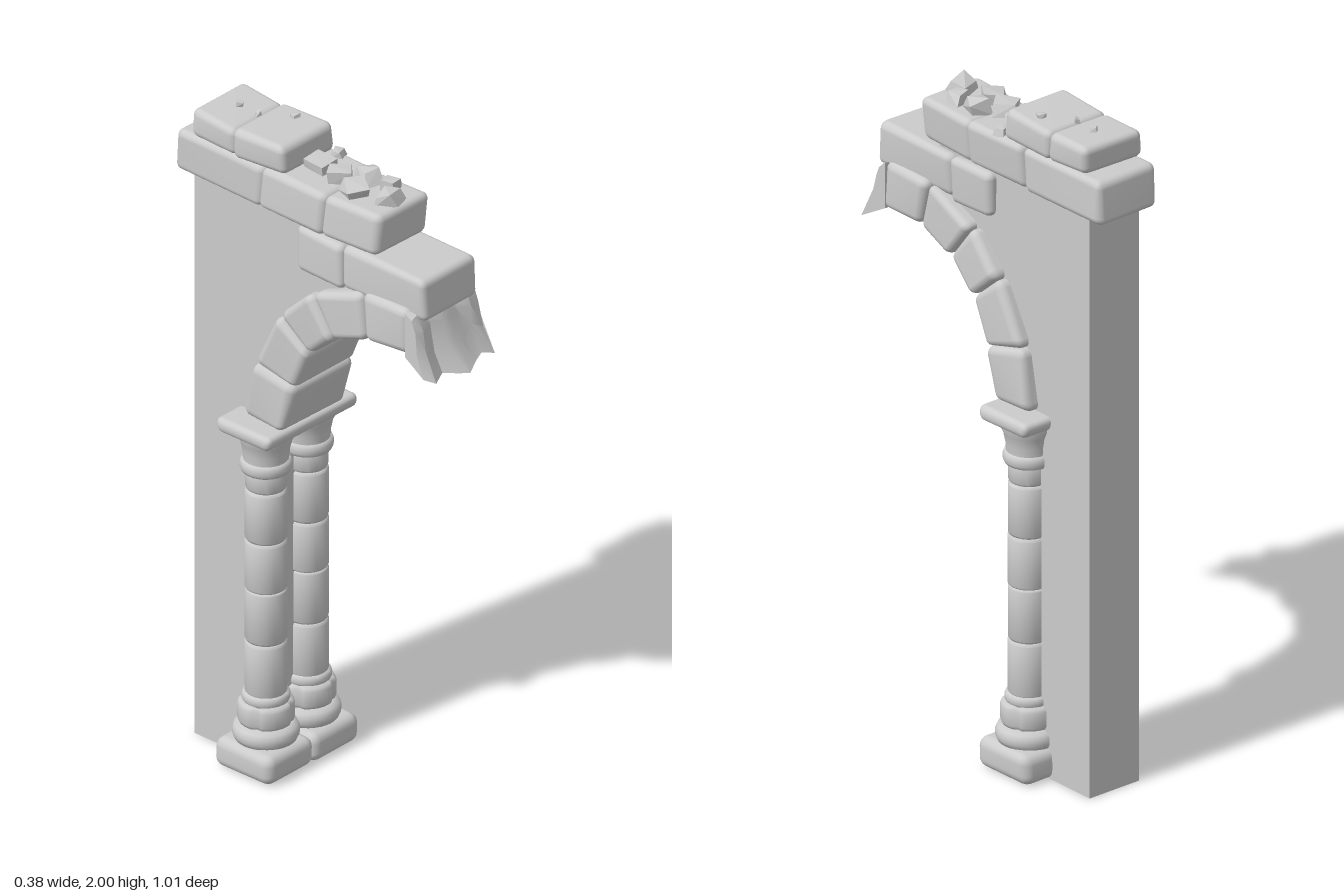
import * as THREE from 'three';
import { mergeVertices, toCreasedNormals } from 'three/addons/utils/BufferGeometryUtils.js';
import { RoundedBoxGeometry } from 'three/addons/geometries/RoundedBoxGeometry.js';
import { ConvexGeometry } from 'three/addons/geometries/ConvexGeometry.js';

const material = new THREE.MeshStandardMaterial({ color: 0xcccccc });
const rubbleMaterial = new THREE.MeshStandardMaterial({ color: 0xcccccc, flatShading: true });

let seed = 7;
const rand = () => (seed = (seed * 16807) % 2147483647) / 2147483647;

function add(group, name, geometry, mat = material) {
  const mesh = new THREE.Mesh(geometry, mat);
  mesh.name = name;
  group.add(mesh);
  return mesh;
}

// Worn stone: a rounded box warped onto a side outline of four [z, y] corners
// (inner back, inner front, outer front, outer back), spanning x0 to x1.
function stone([a, b, c, d], x0, x1, radius = 0.022, wear = 0.004) {
  const dist = (p, q) => Math.hypot(p[0] - q[0], p[1] - q[1]);
  const w = x1 - x0;
  const h = (dist(a, d) + dist(b, c)) / 2;
  const l = (dist(a, b) + dist(d, c)) / 2;
  let geo = new RoundedBoxGeometry(w, h, l, 3, Math.min(radius, h * 0.48, l * 0.48));
  geo.deleteAttribute('normal');
  geo.deleteAttribute('uv');
  geo = mergeVertices(geo, 1e-5);
  const p = geo.attributes.position;
  for (let i = 0; i < p.count; i++) {
    const u = p.getZ(i) / l + 0.5, v = p.getY(i) / h + 0.5;
    const mix = k => (1 - v) * ((1 - u) * a[k] + u * b[k]) + v * ((1 - u) * d[k] + u * c[k]);
    const x = p.getX(i) + (x0 + x1) / 2, y = mix(1), z = mix(0);
    p.setXYZ(i,
      x + wear * Math.sin(23 * y + 31 * z),
      y + wear * Math.sin(29 * x + 17 * z) * Math.min(1, y * 20),
      z + wear * Math.sin(37 * x + 19 * y));
  }
  geo.computeVertexNormals();
  return geo;
}

// Straight stone from z and y ranges
const block = (z0, z1, y0, y1, hx, r) => stone([[z0, y0], [z1, y0], [z1, y1], [z0, y1]], -hx, hx, r);

const lathe = (points, sides = 32) =>
  new THREE.LatheGeometry(points.map(([r, y]) => new THREE.Vector2(r, y)), sides);

// Stone ring with rounded edges
const ring = (r, y0, y1, e = 0.012) =>
  lathe([[0, y0], [r - e, y0], [r - e * 0.3, y0 + e * 0.3], [r, y0 + e], [r, y1 - e],
    [r - e * 0.3, y1 - e * 0.3], [r - e, y1], [0, y1]]);

function column(side) {
  const g = new THREE.Group();
  g.name = side > 0 ? 'leftColumn' : 'rightColumn';
  const part = (name, geo) => add(g, name, toCreasedNormals(geo, 0.9));
  part('lowerBaseRing', ring(0.094, 0.085, 0.14, 0.02));
  // Upper base ring, cut by vertical joints
  const jointed = ring(0.08, 0.14, 0.212, 0.014);
  const p = jointed.attributes.position;
  for (let i = 0; i < p.count; i++) {
    const x = p.getX(i), z = p.getZ(i);
    const turn = Math.round((Math.atan2(z, x) / (Math.PI * 2)) * 32 + 32) % 32;
    if (turn % 8 === 6) p.setXYZ(i, x * 0.9, p.getY(i), z * 0.9);
  }
  part('upperBaseRing', jointed);
  part('shaftFoot', ring(0.068, 0.205, 0.24));
  const joints = [0.235, 0.4, 0.565, 0.72, 0.88];
  for (let i = 0; i < 4; i++) part('drum' + (i + 1), ring(0.06 - 0.001 * (i % 2), joints[i], joints[i + 1], 0.007));
  part('capitalNeck', ring(0.058, 0.88, 0.945, 0.008));
  part('capitalRing', ring(0.073, 0.935, 0.978, 0.014));
  part('capitalBell', lathe([[0, 0.97], [0.064, 0.97], [0.066, 1.0], [0.072, 1.03], [0.082, 1.052], [0.082, 1.066], [0, 1.066]]));
  g.position.set(side * 0.085, 0, -0.176);
  return g;
}

// Broken arch end, lofted from side outlines with a ragged tip
function brokenStone() {
  const xs = [-0.13, -0.105, -0.06, -0.02, 0.01, 0.05, 0.09, 0.13];
  const tips = [0.455, 0.48, 0.462, 0.485, 0.503, 0.488, 0.472, 0.485];
  const lows = [1.475, 1.462, 1.472, 1.462, 1.458, 1.475, 1.478, 1.465];
  const n = 6, pos = [], index = [];
  xs.forEach((x, i) => {
    const t = tips[i], chip = 0.015 * Math.sin(i * 2.3);
    [[0.385, 1.522], [t, lows[i]], [0.44 + (t - 0.48) * 0.4, 1.54 + chip],
      [0.425 + chip * 0.6, 1.61], [0.41, 1.645 + chip], [0.385, 1.66]]
      .forEach(([z, y]) => pos.push(x, y, z));
  });
  for (let i = 0; i < xs.length - 1; i++) {
    for (let j = 0; j < n; j++) {
      const a = i * n + j, b = i * n + (j + 1) % n;
      index.push(a, a + n, b, b, a + n, b + n);
    }
  }
  const end = (xs.length - 1) * n;
  // End caps fan out from the inner top corner
  for (let j = 0; j < n - 2; j++) {
    index.push(n - 1, j, j + 1, end + n - 1, end + j + 1, end + j);
  }
  const geo = new THREE.BufferGeometry();
  geo.setAttribute('position', new THREE.Float32BufferAttribute(pos, 3));
  geo.setIndex(index);
  return toCreasedNormals(geo, 0.5);
}

// Angular chunk: convex hull of a jittered box
function chunk(size, height) {
  const pts = [];
  for (const x of [-1, 1]) for (const y of [0, 1]) for (const z of [-1, 1]) {
    const k = size * (0.5 + 0.45 * rand()) * (y ? 0.8 : 1);
    pts.push(new THREE.Vector3(x * k, y * height * (0.65 + 0.35 * rand()), z * size * (0.5 + 0.4 * rand())));
  }
  return new ConvexGeometry(pts);
}

export function createModel() {
  const model = new THREE.Group();
  model.name = 'ruinedArch';

  // Plain wall core behind the stones
  const outline = [[-0.44, 0], [-0.175, 0], [-0.175, 1.08], [-0.14, 1.2], [-0.07, 1.4], [0.06, 1.54], [0.22, 1.6],
    [0.37, 1.61], [0.37, 1.7], [0.2, 1.7], [0.2, 1.82], [-0.44, 1.82]];
  const wall = new THREE.ExtrudeGeometry(new THREE.Shape(outline.map(q => new THREE.Vector2(...q))),
    { depth: 0.18, bevelEnabled: false });
  wall.translate(0, 0, -0.09).rotateY(-Math.PI / 2);
  add(model, 'wallCore', wall);

  // Twin columns with plinths and a shared top slab
  for (const s of [-1, 1]) {
    model.add(column(s));
    const quad = [[-0.282, 0], [-0.07, 0], [-0.07, 0.092], [-0.282, 0.092]];
    add(model, s > 0 ? 'leftPlinth' : 'rightPlinth',
      stone(quad, s > 0 ? -0.005 : -0.19, s > 0 ? 0.19 : 0.005, 0.03, 0.002));
  }
  add(model, 'capitalSlab', stone([[-0.272, 1.06], [-0.08, 1.06], [-0.072, 1.105], [-0.28, 1.105]], -0.188, 0.188, 0.02, 0.002));

  // Arch stones between inner and outer joint points [z, y]
  const inner = [[-0.075, 1.095], [-0.04, 1.25], [0.018, 1.385], [0.115, 1.472], [0.24, 1.512], [0.395, 1.525]];
  const outer = [[-0.225, 1.11], [-0.19, 1.29], [-0.09, 1.468], [0.025, 1.59], [0.21, 1.66], [0.395, 1.668]];
  for (let i = 0; i < 5; i++) {
    add(model, 'archStone' + (i + 1), stone([inner[i], inner[i + 1], outer[i + 1], outer[i]], -0.131, 0.131, 0.025));
  }
  add(model, 'brokenArchStone', brokenStone());

  // Stepped courses: z range, y range, half width
  const courses = [
    [-0.04, 0.135, 1.632, 1.77, 0.116], [0.13, 0.44, 1.64, 1.77, 0.112],
    [-0.178, 0.06, 1.772, 1.902, 0.112], [0.05, 0.26, 1.772, 1.9, 0.106],
    [-0.5, -0.172, 1.768, 1.9, 0.107],
    [-0.442, -0.275, 1.9, 1.985, 0.107], [-0.285, -0.092, 1.898, 1.988, 0.109],
  ];
  courses.forEach((c, i) => add(model, 'courseStone' + (i + 1), block(...c, 0.022)));

  // Loose rubble and pebbles: x, y, z, size, height
  const rubble = [
    [0.005, 1.897, -0.055, 0.052, 0.04], [0.09, 1.897, -0.065, 0.024, 0.03], [-0.005, 1.897, 0.03, 0.046, 0.05],
    [-0.03, 1.897, 0.115, 0.048, 0.045], [0.042, 1.897, 0.095, 0.042, 0.05], [0.05, 1.897, 0.168, 0.034, 0.04],
    [-0.01, 1.897, 0.22, 0.044, 0.042],
    [0.005, 1.984, -0.355, 0.014, 0.018], [0, 1.984, -0.28, 0.012, 0.015], [0.057, 1.984, -0.195, 0.016, 0.016],
  ];
  rubble.forEach(([x, y, z, size, height], i) => {
    const m = add(model, (i < 7 ? 'rubble' : 'pebble') + (i + 1), chunk(size, height), rubbleMaterial);
    m.position.set(x, y, z);
    m.rotation.set(0.15 * Math.sin(i * 3), i * 1.9, 0.15 * Math.cos(i * 2));
  });
  return model;
}
